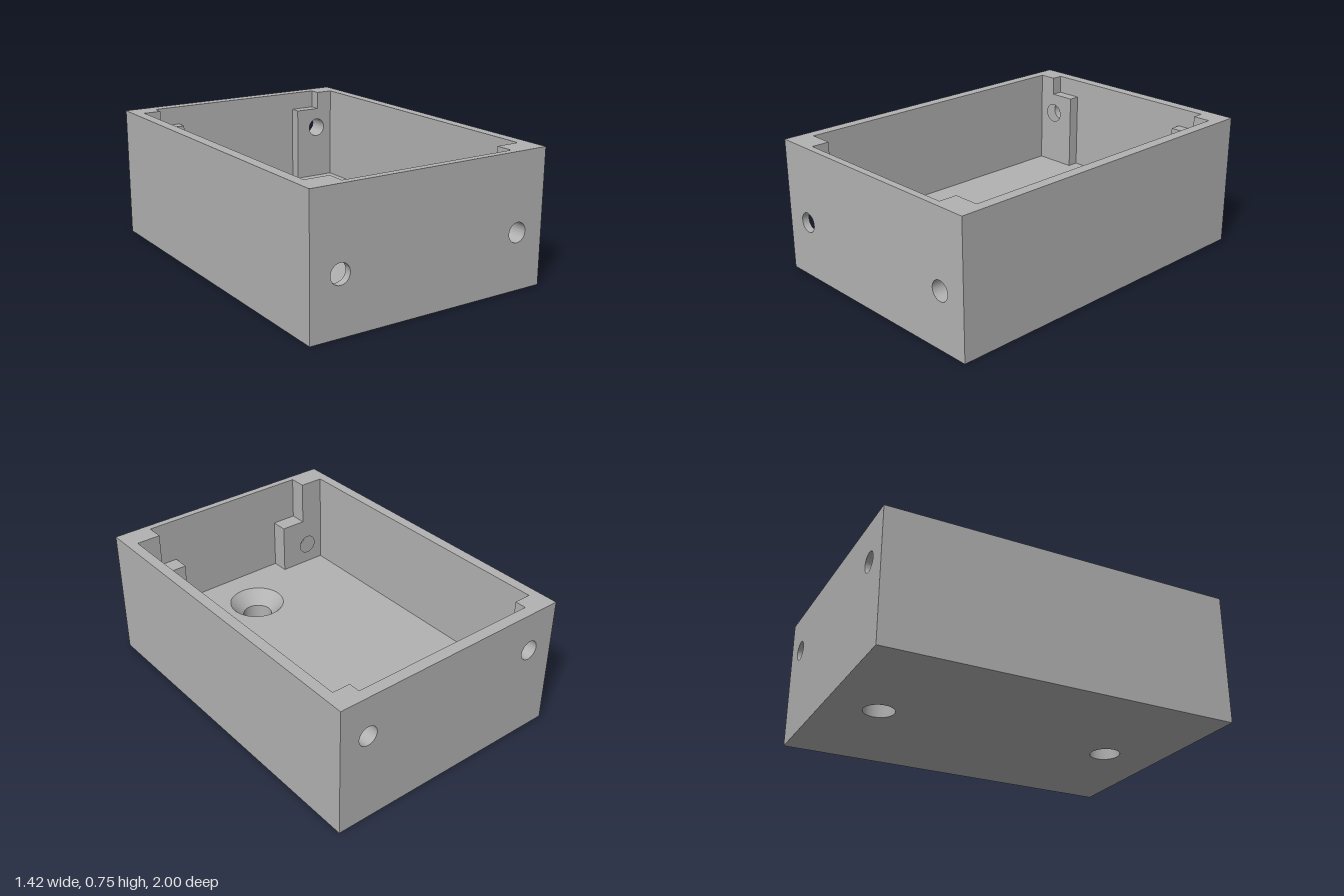
import * as THREE from 'three';
import { toCreasedNormals } from 'three/addons/utils/BufferGeometryUtils.js';

const W = 0.71, H = 0.745;          // half width, height
const IN = 0.65;                    // inner half width
const FLOOR = 0.195;                // floor thickness
const SCREW_X = 0.543, SCREW_R = 0.055;
const BORE_R = 0.085, SINK_R = 0.16, SINK_Y = 0.115;
const BORES_Z = [-0.71, 0.66];

// z planes run from the outer face inwards; block is the half-width range of the corner blocks
const ENDS = [
  { name: 'front', outer: 1, pocket: 0.96, inner: 0.86, block: [0.36, 0.51], top: 0.49, holeY: 0.317 },
  { name: 'back', outer: -1, pocket: -0.935, inner: -0.87, block: [0.40, 0.55], top: 0.64, holeY: 0.517 },
];

export function createModel() {
  const model = new THREE.Group();
  const grey = new THREE.MeshStandardMaterial({ color: 0xb2b2b2 });

  const add = (name, geometry) => {
    const mesh = new THREE.Mesh(geometry, grey);
    mesh.name = name;
    model.add(mesh);
    return mesh;
  };

  // Extruded plate with round holes given as [x, y, radius]
  const plate = (points, holes, depth) => {
    const shape = new THREE.Shape(points.map(([x, y]) => new THREE.Vector2(x, y)));
    for (const [x, y, r] of holes) {
      shape.holes.push(new THREE.Path().absarc(x, y, r, 0, Math.PI * 2, true));
    }
    const geometry = new THREE.ExtrudeGeometry(shape, { depth, bevelEnabled: false, curveSegments: 48 });
    return toCreasedNormals(geometry, 0.5);
  };

  // End walls: an outer skin plus stepped corner blocks, both pierced by screw holes
  for (const e of ENDS) {
    const holes = [-1, 1].map((s) => [s * SCREW_X, e.holeY, SCREW_R]);
    const skin = plate([[-W, 0], [W, 0], [W, H], [-W, H]], holes, Math.abs(e.outer - e.pocket));
    add(e.name + 'Wall', skin).position.z = Math.min(e.outer, e.pocket);

    const [a, b] = e.block;
    for (const s of [-1, 1]) {
      const outline = [[a, 0], [W, 0], [W, H], [b, H], [b, e.top], [a, e.top]].map(([x, y]) => [s * x, y]);
      const block = plate(outline, [[s * SCREW_X, e.holeY, SCREW_R]], Math.abs(e.pocket - e.inner));
      add(e.name + (s > 0 ? 'Left' : 'Right') + 'Block', block).position.z = Math.min(e.pocket, e.inner);
    }
  }

  // Side walls between the corner blocks
  const [front, back] = ENDS;
  for (const s of [-1, 1]) {
    const wall = add(s > 0 ? 'leftWall' : 'rightWall',
      new THREE.BoxGeometry(W - IN, H, front.inner - back.inner));
    wall.position.set(s * (W + IN) / 2, H / 2, (front.inner + back.inner) / 2);
  }

  // Floor reaching between the corner blocks, in two layers (shape y is -z)
  const half = [
    [front.block[0], front.pocket], [front.block[0], front.inner], [IN, front.inner],
    [IN, back.inner], [back.block[0], back.inner], [back.block[0], back.pocket],
  ];
  const outline = [
    ...half.map(([x, z]) => [x, -z]),
    ...half.slice().reverse().map(([x, z]) => [-x, -z]),
  ];
  const floorLayer = (name, radius, y0, y1) => {
    const geometry = plate(outline, BORES_Z.map((z) => [0, -z, radius]), y1 - y0);
    geometry.rotateX(-Math.PI / 2);
    add(name, geometry).position.y = y0;
  };
  floorLayer('floorBase', BORE_R, 0, SINK_Y);
  floorLayer('floorTop', SINK_R, SINK_Y, FLOOR);

  // Conical countersinks above the floor bores
  for (const z of BORES_Z) {
    const cone = new THREE.LatheGeometry(
      [new THREE.Vector2(SINK_R, FLOOR), new THREE.Vector2(BORE_R, SINK_Y)], 96);
    add('countersink', cone).position.z = z;
  }

  return model;
}
